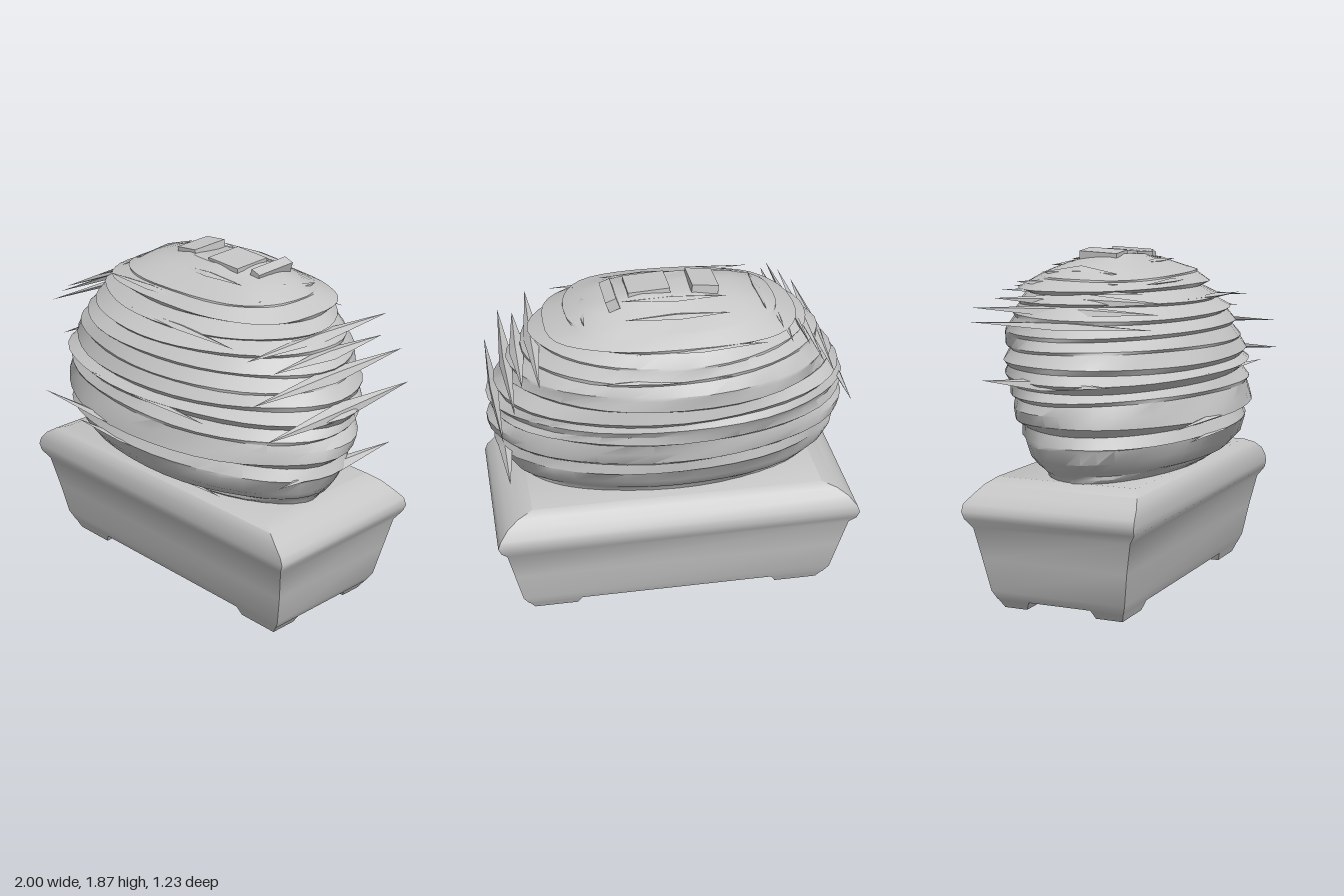
import * as THREE from 'three';
import { toCreasedNormals } from 'three/addons/utils/BufferGeometryUtils.js';

const stone = new THREE.MeshStandardMaterial({ color: 0xc6c6c6 });
stone.name = 'light grey';

// Closed skin over rings of equal length, ordered bottom to top
function loft(rings, crease) {
  const n = rings[0].length, pos = [], index = [];
  rings.forEach(r => r.forEach(p => pos.push(...p)));
  for (let i = 0; i < rings.length - 1; i++) {
    for (let j = 0; j < n; j++) {
      const a = i * n + j, b = i * n + (j + 1) % n, c = a + n, d = b + n;
      index.push(a, c, b, b, c, d);
    }
  }
  const top = (rings.length - 1) * n;
  for (let j = 1; j < n - 1; j++) {
    index.push(0, j, j + 1, top, top + j + 1, top + j);
  }
  const g = new THREE.BufferGeometry();
  g.setAttribute('position', new THREE.Float32BufferAttribute(pos, 3));
  g.setIndex(index);
  return toCreasedNormals(g, crease);
}

// Rectangular ring
const rect = ([y, x0, x1, z0, z1]) => [[x1, y, z1], [x0, y, z1], [x0, y, z0], [x1, y, z0]];

function add(parent, name, geometry) {
  const m = new THREE.Mesh(geometry, stone);
  m.name = name;
  parent.add(m);
  return m;
}

function makePlanter() {
  const planter = new THREE.Group();
  planter.name = 'planter';
  // y, half width, back z, front z
  const profile = [
    [0.05, 0.845, -0.385, 0.34], [0.1, 0.875, -0.405, 0.36], [0.28, 0.915, -0.435, 0.39],
    [0.45, 0.952, -0.465, 0.425], [0.5, 0.985, -0.5, 0.46], [0.54, 1.0, -0.508, 0.465],
    [0.58, 0.985, -0.505, 0.463], [0.63, 0.94, -0.465, 0.455], [0.67, 0.88, -0.435, 0.43],
    [0.7, 0.8, -0.4, 0.39],
  ];
  add(planter, 'planterBody', loft(profile.map(([y, w, b, f]) => rect([y, -w, w, b, f])), 0.75));
  // Four corner feet, tapering toward the ground
  for (const s of [-1, 1]) {
    for (const [z0, z1, t0, t1] of [[-0.36, -0.23, -0.385, -0.2], [0.17, 0.32, 0.15, 0.34]]) {
      const xs = (a, b) => (s > 0 ? [a, b] : [-b, -a]);
      add(planter, 'foot', loft([
        rect([0, ...xs(0.57, 0.81), z0, z1]),
        rect([0.055, ...xs(0.54, 0.845), t0, t1]),
      ], 0.4));
    }
  }
  return planter;
}

function makeBush() {
  const bush = new THREE.Group();
  bush.name = 'bush';
  // y, half width, front z, back z; close pairs of rows form the stepped ledges
  const rows = [
    [0.68, 0.8, 0.38, -0.32], [0.72, 0.82, 0.44, -0.34], [0.74, 0.84, 0.45, -0.36],
    [0.76, 0.87, 0.49, -0.38], [0.82, 0.92, 0.55, -0.43], [0.89, 0.945, 0.575, -0.46],
    [0.905, 0.955, 0.59, -0.475], [0.965, 0.93, 0.56, -0.475], [1.0, 0.98, 0.62, -0.51],
    [1.06, 0.985, 0.605, -0.52], [1.115, 0.955, 0.59, -0.525], [1.135, 0.975, 0.6, -0.55],
    [1.18, 0.94, 0.565, -0.555], [1.225, 0.98, 0.615, -0.58], [1.265, 0.93, 0.56, -0.57],
    [1.295, 0.945, 0.59, -0.6], [1.36, 0.89, 0.56, -0.585], [1.375, 0.895, 0.57, -0.605],
    [1.43, 0.85, 0.525, -0.61], [1.45, 0.86, 0.545, -0.61], [1.51, 0.795, 0.49, -0.575],
    [1.53, 0.8, 0.515, -0.585], [1.585, 0.725, 0.43, -0.555], [1.6, 0.745, 0.45, -0.555],
    [1.65, 0.66, 0.36, -0.51], [1.67, 0.67, 0.37, -0.51], [1.715, 0.56, 0.3, -0.44],
    [1.725, 0.56, 0.3, -0.42], [1.765, 0.46, 0.2, -0.35], [1.795, 0.36, 0.14, -0.28],
    [1.82, 0.25, 0.06, -0.22], [1.83, 0.22, 0.05, -0.2],
  ];
  const sides = 40;
  const rings = rows.map(([y, w, f, b], i) => {
    const power = y > 1.66 ? 0.75 : 1; // squarer layers near the crown
    const layer = Math.floor(i / 2);
    const ring = [];
    for (let j = 0; j < sides; j++) {
      const a = j / sides * Math.PI * 2, c = Math.cos(a), s = Math.sin(a);
      const round = v => Math.sign(v) * Math.abs(v) ** power;
      const wave = 1 + 0.008 * Math.sin(3 * a + layer * 2.3) + 0.006 * Math.sin(7 * a + i * 1.7);
      const tilt = y < 0.75 ? 0 : 0.007 * Math.sin(2 * a + layer * 1.9);
      ring.push([w * wave * round(c), y + tilt, (f + b) / 2 + (f - b) / 2 * wave * round(s)]);
    }
    return ring;
  });
  add(bush, 'layeredFoliage', loft(rings, 0.62));

  // Thin pointed shards: x, y, z, half sizes, tilt
  const shard = (name, x, y, z, hx, hy, hz, tilt, yaw = 0) => {
    const g = new THREE.OctahedronGeometry(1, 0).scale(hx, hy, hz);
    const m = add(bush, name, g);
    m.position.set(x, y, z);
    m.rotation.set(0, yaw, tilt);
  };
  const endShards = [
    [-0.79, 1.5, -0.04, 0.52], [-0.72, 1.57, -0.05, 0.53], [-0.66, 1.62, 0, 0.48],
    [-0.58, 1.66, -0.08, 0.42], [-0.54, 1.7, -0.12, 0.3], [-0.47, 1.75, -0.08, 0.22],
    [0.73, 1.57, -0.06, 0.52], [0.87, 1.41, 0, 0.56], [0.945, 1.24, 0, 0.55],
    [0.9, 0.91, -0.03, 0.42], [-0.93, 1.22, -0.05, 0.36], [0.48, 1.74, -0.08, 0.22],
    [0.81, 1.5, -0.05, 0.4],
  ];
  endShards.forEach(([x, y, z, hz], i) =>
    shard('endShard', x, y, z, 0.045, 0.02, hz, -Math.sign(x) * (0.4 + 0.3 * (i % 3)), 0.02 * (i % 3 - 1)));
  // Slivers lying along the front, back and crown
  const slivers = [
    [0.1, 1.225, 0.58, 0.45], [-0.25, 1.0, 0.585, 0.5], [-0.1, 0.905, 0.56, 0.4],
    [0.2, 1.6, 0.42, 0.4], [-0.15, 1.7, 0.31, 0.35], [0.1, 1.53, -0.555, 0.35],
    [-0.1, 1.66, -0.49, 0.35], [0, 1.775, -0.34, 0.28], [0, 1.815, -0.22, 0.28],
    [0.1, 0.74, 0.42, 0.4], [0.1, 1.79, 0.12, 0.25],
  ];
  slivers.forEach(([x, y, z, hx], i) =>
    shard('sliver', x, y, z, hx, 0.014, 0.035, 0.02 * (i % 3 - 1)));
  // Small raised blocks on the crown
  for (const [x, z, w, d, h] of [[0.12, -0.07, 0.22, 0.22, 0.02], [-0.17, -0.08, 0.14, 0.22, 0.03], [0.32, -0.12, 0.06, 0.25, 0.015]]) {
    const block = add(bush, 'crownTuft', new THREE.BoxGeometry(w, 0.06, d));
    block.position.set(x, 1.795 + h, z);
    block.rotation.set(0.05, 0, x > 0.3 ? -0.35 : (x < 0 ? 0.1 : -0.05));
  }
  return bush;
}

export function createModel() {
  const model = new THREE.Group();
  model.name = 'pottedBush';
  model.add(makePlanter(), makeBush());
  return model;
}
